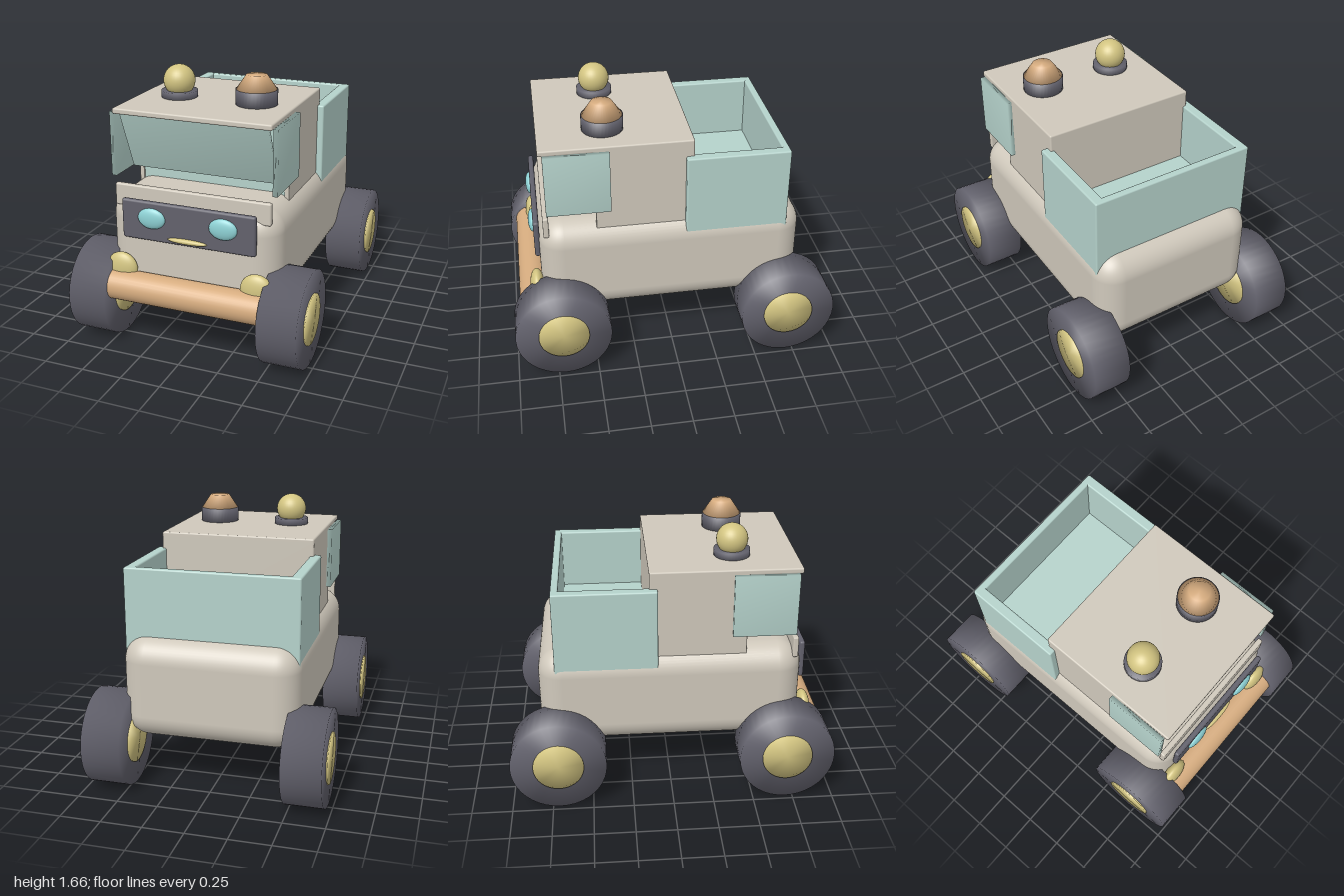
import * as THREE from 'three';
import { mergeVertices } from 'three/addons/utils/BufferGeometryUtils.js';
import { RoundedBoxGeometry } from 'three/addons/geometries/RoundedBoxGeometry.js';

const mat = (name, color) => {
  const m = new THREE.MeshStandardMaterial({ color });
  m.name = name;
  return m;
};

// Share corner vertices so that normals blend softly across edges
function soften(geometry) {
  geometry.deleteAttribute('normal');
  geometry.deleteAttribute('uv');
  const g = mergeVertices(geometry, 1e-4);
  g.computeVertexNormals();
  return g;
}

export function createModel() {
  const model = new THREE.Group();
  model.name = 'smallTruck';

  const cream = mat('cream', 0xcfc8bb);
  const teal = mat('paleTeal', 0xb5d2cb);
  const dark = mat('darkGrey', 0x62616c);
  const yellow = mat('softYellow', 0xd2c481);
  const tan = mat('tan', 0xd6ac7f);
  const cyan = mat('cyan', 0x8ed2d5);

  const add = (name, geometry, material, x, y, z) => {
    const mesh = new THREE.Mesh(geometry, material);
    mesh.name = name;
    mesh.position.set(x, y, z);
    model.add(mesh);
    return mesh;
  };
  // Rounded block given by its limits on each axis
  const block = (name, material, [x0, x1], [y0, y1], [z0, z1], r = 0.01, seg = 2) =>
    add(name, new RoundedBoxGeometry(x1 - x0, y1 - y0, z1 - z0, seg, r), material,
      (x0 + x1) / 2, (y0 + y1) / 2, (z0 + z1) / 2);
  const ellipsoid = (name, material, x, y, z, rx, ry, rz) =>
    add(name, new THREE.SphereGeometry(1, 32, 20), material, x, y, z).scale.set(rx, ry, rz);
  const drum = (name, material, rTop, rBottom, h, x, y, z) =>
    add(name, soften(new THREE.CylinderGeometry(rTop, rBottom, h, 40)), material, x, y, z);

  // Chassis
  block('body', cream, [-0.54, 0.54], [0.32, 0.95], [-0.81, 0.81], 0.15, 6);

  // Cab
  block('roof', cream, [-0.49, 0.49], [1.425, 1.46], [-0.13, 0.78]);
  block('cabBack', cream, [-0.49, 0.49], [0.85, 1.45], [-0.13, -0.09]);
  add('frontGlass', new THREE.BoxGeometry(0.94, 0.53, 0.02), teal, 0, 1.165, 0.44);
  const visor = add('visor', soften(new THREE.BoxGeometry(0.92, 0.4, 0.02)), teal, 0, 1.245, 0.66);
  visor.rotation.x = 0.4;

  // Load bed
  block('bedFloor', teal, [-0.48, 0.48], [0.9, 0.975], [-0.68, -0.12]);
  block('tailgate', teal, [-0.53, 0.53], [0.82, 1.355], [-0.705, -0.66]);

  for (const s of [-1, 1]) {
    const side = (a, b) => (s > 0 ? [a, b] : [-b, -a]);
    block('cabSide', cream, side(0.46, 0.49), [0.85, 1.45], [-0.12, 0.46], 0.004);
    block('bedSide', teal, side(0.465, 0.53), [0.82, 1.355], [-0.705, -0.08]);
    add('sidePane', soften(new THREE.BoxGeometry(0.03, 0.39, 0.385)), teal, s * 0.505, 1.235, 0.5625);

    // Face and lamps
    ellipsoid('eye', cyan, s * 0.225, 0.835, 0.84, 0.087, 0.064, 0.027);
    ellipsoid('headlight', yellow, s * 0.43, 0.49, 0.84, 0.1, 0.1, 0.045);

    // Wheels
    for (const z of [-0.705, 0.705]) {
      drum('wheel', dark, 0.295, 0.295, 0.24, s * 0.6, 0.295, z).rotation.z = Math.PI / 2;
      drum('hub', yellow, 0.155, 0.155, 0.255, s * 0.6, 0.295, z).rotation.z = Math.PI / 2;
    }
  }

  // Front end
  block('hoodLedge', cream, [-0.49, 0.49], [0.868, 1.003], [0.745, 0.78]);
  block('facePlate', dark, [-0.42, 0.42], [0.69, 0.935], [0.803, 0.838], 0.014);
  ellipsoid('mouth', yellow, 0, 0.722, 0.84, 0.125, 0.016, 0.02);
  add('bumper', new THREE.CylinderGeometry(0.095, 0.095, 0.98, 32), tan, 0, 0.387, 0.862)
    .rotation.z = Math.PI / 2;

  // Roof lamps
  drum('domeBase', dark, 0.11, 0.11, 0.05, -0.24, 1.475, 0.385);
  ellipsoid('domeLamp', yellow, -0.24, 1.56, 0.385, 0.096, 0.096, 0.096);
  drum('beaconBase', dark, 0.125, 0.125, 0.095, 0.255, 1.5025, 0.385);
  drum('beacon', tan, 0.062, 0.12, 0.085, 0.255, 1.5925, 0.385);

  return model;
}
